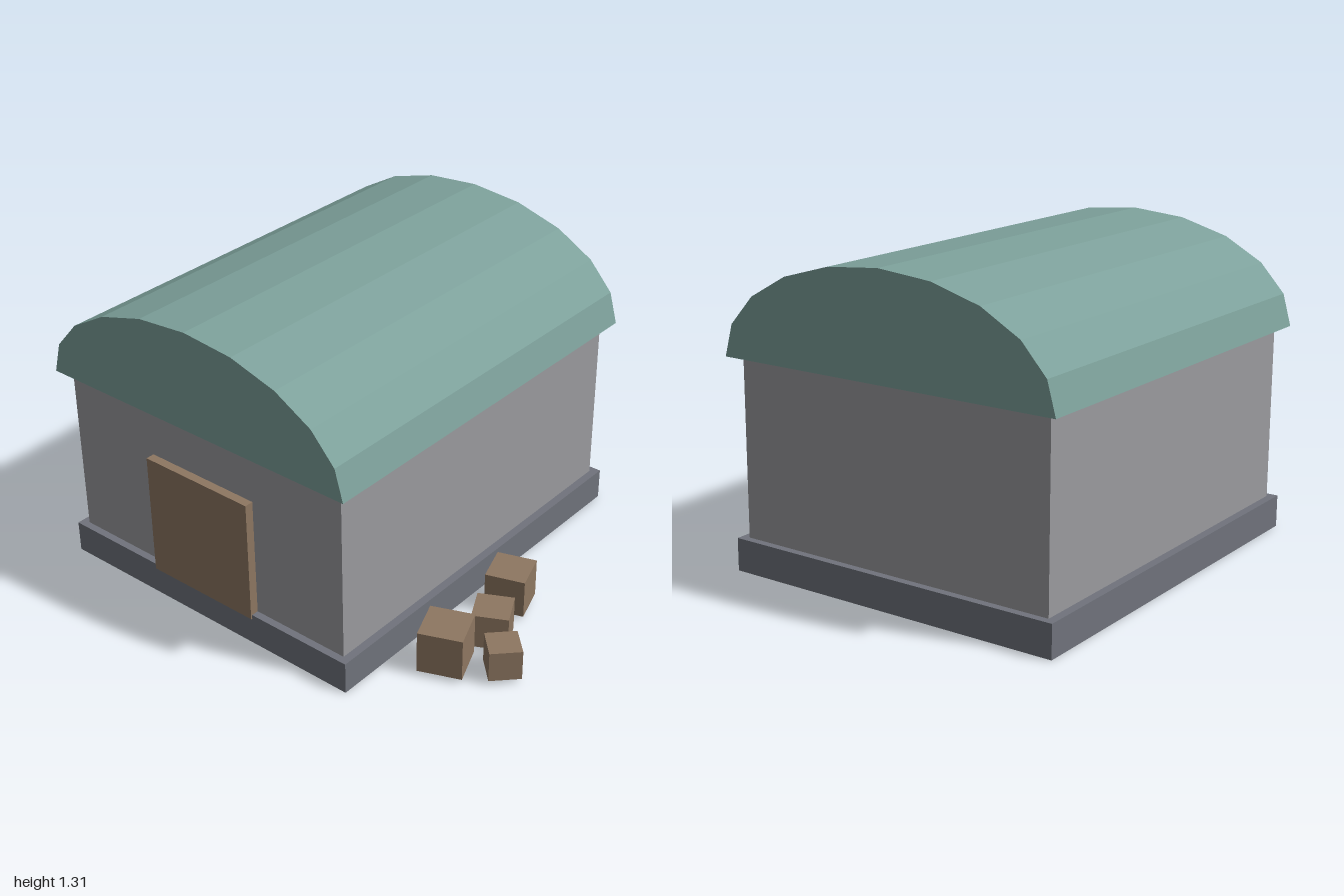
import * as THREE from 'three';

const mat = (name, color) => {
  const m = new THREE.MeshStandardMaterial({ color });
  m.name = name;
  return m;
};

export function createModel() {
  const root = new THREE.Group();
  root.name = 'storehouse';
  const stone = mat('foundation grey', 0x70737c);
  const plaster = mat('wall grey', 0x9b9b9f);
  const green = mat('roof green', 0x7da19b);
  const wood = mat('wood brown', 0x8e7761);

  // Box standing on height y, centred on x and z
  const box = (name, material, w, h, d, x, y, z, parent = root) => {
    const mesh = new THREE.Mesh(new THREE.BoxGeometry(w, h, d), material);
    mesh.name = name;
    mesh.position.set(x, y + h / 2, z);
    parent.add(mesh);
    return mesh;
  };

  const building = new THREE.Group();
  building.name = 'building';
  building.position.x = -0.238;
  root.add(building);

  box('foundation', stone, 1.495, 0.137, 1.752, 0, 0, 0, building);
  box('walls', plaster, 1.425, 0.75, 1.688, 0, 0.133, 0, building);
  box('door', wood, 0.536, 0.535, 0.05, -0.002, 0.12, 0.857, building);

  // Barrel roof: a faceted half ellipse, solid from end to end
  const segments = 10;
  const arch = new THREE.Shape();
  for (let i = 0; i <= segments; i++) {
    const a = (i / segments) * Math.PI;
    const x = 0.762 * Math.cos(a), y = 0.43 * Math.sin(a);
    if (i === 0) arch.moveTo(x, y);
    else arch.lineTo(x, y);
  }
  arch.closePath();
  const roofGeometry = new THREE.ExtrudeGeometry(arch, { depth: 1.78, bevelEnabled: false });
  roofGeometry.translate(0, 0.88, -0.89);
  const roof = new THREE.Mesh(roofGeometry, green);
  roof.name = 'roof';
  building.add(roof);

  // Cross ribs just showing below the eaves
  for (const z of [-0.505, 0, 0.505]) {
    box('roofRib', green, 1.475, 0.025, 0.055, 0, 0.874, z, building);
  }

  // Crates beside the left wall: size, x, z, turn
  const crates = [
    [0.167, 0.67, 0.03, 0.32],
    [0.15, 0.754, 0.267, 0.47],
    [0.182, 0.703, 0.503, 0.38],
    [0.131, 0.904, 0.403, 0.79],
  ];
  for (const [s, x, z, turn] of crates) {
    box('crate', wood, s, s, s, x, 0.02, z).rotation.y = turn;
  }

  return root;
}
